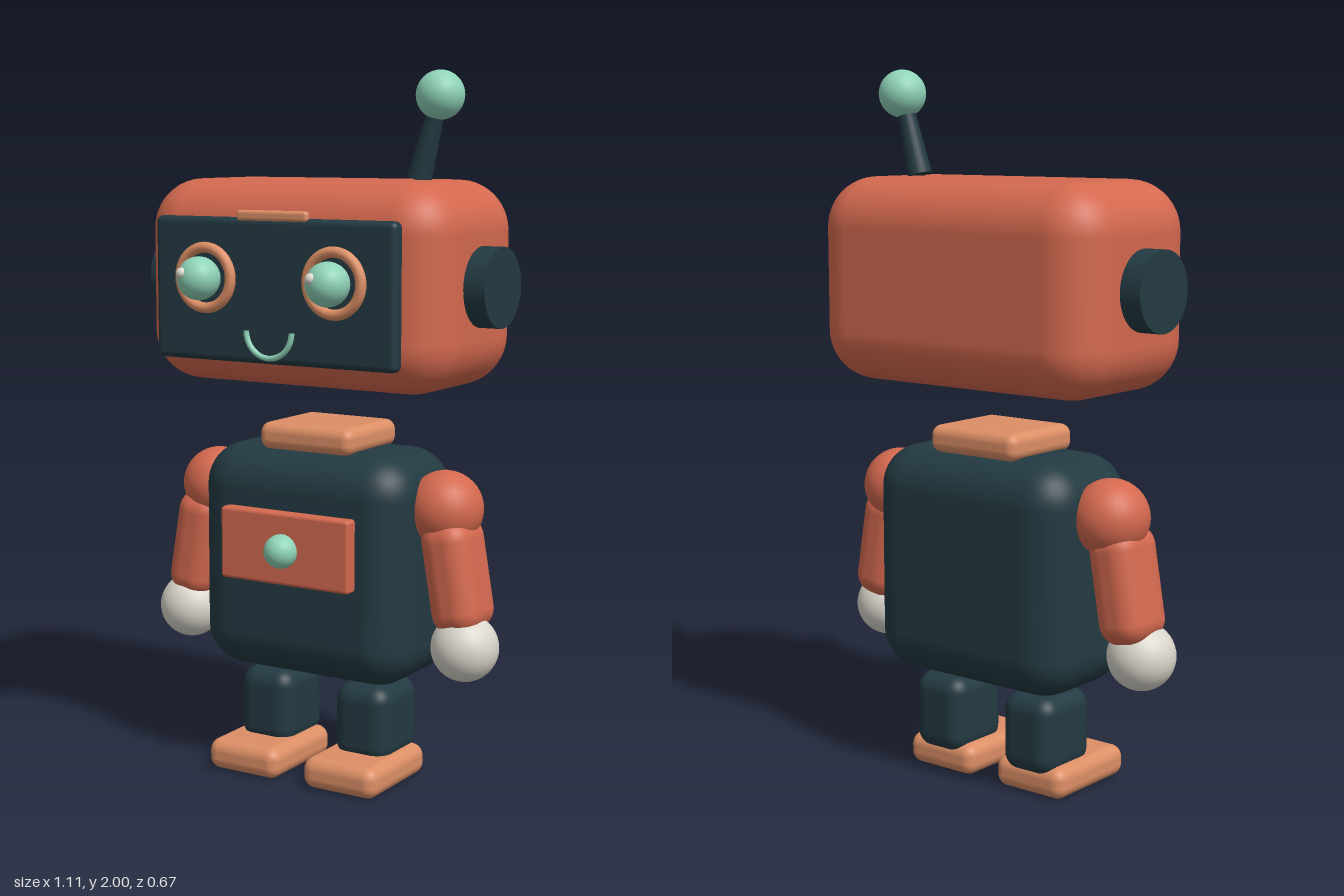
import * as THREE from 'three';
import { RoundedBoxGeometry } from 'three/addons/geometries/RoundedBoxGeometry.js';

function paint(name, color) {
  const m = new THREE.MeshStandardMaterial({ color });
  m.name = name;
  return m;
}

export function createModel() {
  const coral = paint('coral', 0xd4694f);
  const navy = paint('dark teal', 0x233a42);
  const copper = paint('copper', 0xdd8f66);
  const mint = paint('mint', 0x8fd3b8);
  const ivory = paint('ivory', 0xdad6cc);

  const robot = new THREE.Group();
  robot.name = 'robot';

  function add(name, geometry, material, x, y, z) {
    const mesh = new THREE.Mesh(geometry, material);
    mesh.name = name;
    mesh.position.set(x, y, z);
    robot.add(mesh);
    return mesh;
  }
  const box = (w, h, d, r) => new RoundedBoxGeometry(w, h, d, 6, r);
  const ball = (r) => new THREE.SphereGeometry(r, 32, 20);

  // Head with its face plate and brow
  add('head', box(0.965, 0.57, 0.525, 0.14), coral, 0, 1.42, -0.075);
  add('facePlate', box(0.77, 0.395, 0.046, 0.018), navy, 0, 1.408, 0.203);
  add('brow', box(0.225, 0.03, 0.024, 0.01), copper, 0, 1.611, 0.215);

  // Smile: lower half of a thin ring
  const smile = new THREE.TorusGeometry(0.073, 0.008, 10, 32, Math.PI);
  add('smile', smile, mint, 0, 1.302, 0.237).rotation.z = Math.PI;

  // Antenna leaning towards the tip
  const base = new THREE.Vector3(0.277, 1.708, -0.093);
  const tip = new THREE.Vector3(0.34, 1.933, -0.093);
  const lean = tip.clone().sub(base);
  const middle = base.clone().add(tip).multiplyScalar(0.5);
  const rod = add('antennaRod', new THREE.CylinderGeometry(0.021, 0.035, lean.length(), 24),
    navy, middle.x, middle.y, middle.z);
  rod.quaternion.setFromUnitVectors(new THREE.Vector3(0, 1, 0), lean.normalize());
  add('antennaTip', ball(0.067), mint, tip.x, tip.y, tip.z);

  // Torso, neck and chest panel
  add('torso', box(0.675, 0.655, 0.395, 0.12), navy, 0, 0.627, -0.07);
  add('neck', box(0.305, 0.078, 0.275, 0.03), copper, 0, 0.983, -0.072);
  add('chestPanel', box(0.42, 0.205, 0.045, 0.01), coral, 0, 0.688, 0.148);
  add('chestButton', ball(0.048), mint, 0, 0.686, 0.181);

  // Paired parts
  for (const [side, s] of [['left', 1], ['right', -1]]) {
    const ear = new THREE.CylinderGeometry(0.11, 0.11, 0.1, 40);
    add(side + 'Ear', ear, navy, s * 0.495, 1.422, -0.075).rotation.z = Math.PI / 2;

    const eyeX = s * 0.206;
    add(side + 'EyeRing', new THREE.TorusGeometry(0.083, 0.015, 14, 40), copper, eyeX, 1.44, 0.239);
    add(side + 'Eye', ball(0.06), mint, eyeX, 1.44, 0.27);
    add(side + 'EyeGlint', ball(0.016), ivory, eyeX - 0.022, 1.456, 0.318);

    add(side + 'Shoulder', ball(0.107), coral, s * 0.38, 0.805, -0.072);
    const arm = add(side + 'Arm', box(0.145, 0.32, 0.185, 0.06), coral, s * 0.427, 0.625, -0.06);
    arm.rotation.z = s * 0.17;
    add(side + 'Hand', ball(0.095), ivory, s * 0.462, 0.428, -0.04);

    add(side + 'Leg', box(0.174, 0.225, 0.215, 0.05), navy, s * 0.161, 0.173, -0.072);
    add(side + 'Foot', box(0.238, 0.09, 0.312, 0.035), copper, s * 0.161, 0.045, -0.006);
  }
  return robot;
}
